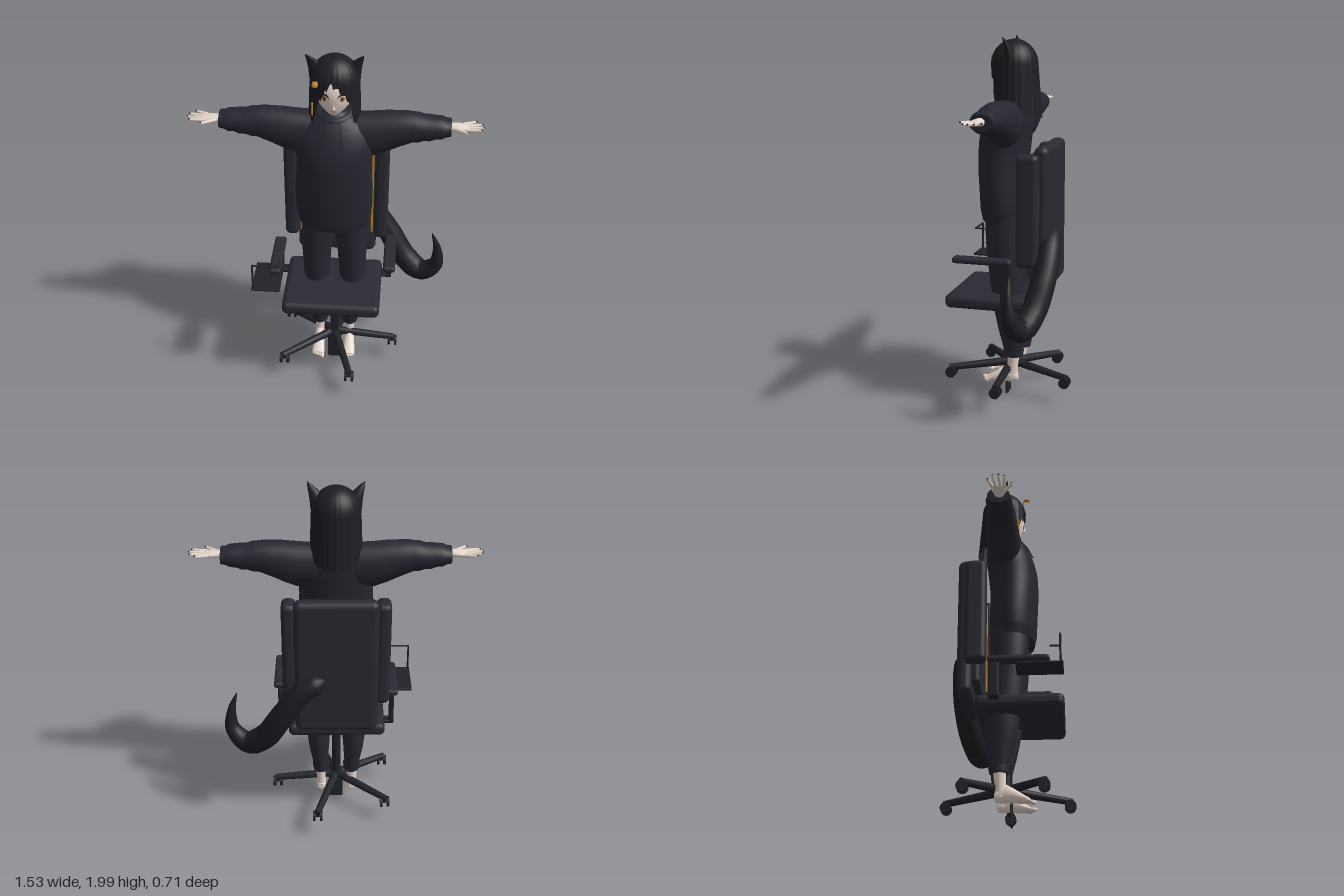
import * as THREE from 'three';
import { RoundedBoxGeometry } from 'three/addons/geometries/RoundedBoxGeometry.js';

const mat = (name, color, side = THREE.FrontSide) => {
  const m = new THREE.MeshStandardMaterial({ color, side });
  m.name = name;
  return m;
};

export function createModel() {
  const root = new THREE.Group();
  root.name = 'personWithOfficeChair';
  const cloth = mat('hoodieCloth', 0x25262f), trouser = mat('trouserCloth', 0x272831);
  const hairMat = mat('hair', 0x1d1e23, THREE.DoubleSide), skin = mat('skin', 0xe6d6ca);
  const chairMat = mat('chairFabric', 0x292a32), metal = mat('chairMetal', 0x212228);
  const amber = mat('amber', 0xb87d24), white = mat('eyeWhite', 0xf2eeea), lip = mat('lip', 0xb98d82);

  const add = (name, geo, material, x = 0, y = 0, z = 0, parent = root) => {
    const m = new THREE.Mesh(geo, material);
    m.name = name;
    m.position.set(x, y, z);
    parent.add(m);
    return m;
  };
  // Box from its limits on each axis, with rounded edges
  const box = (name, [x0, x1], [y0, y1], [z0, z1], material, r = 0.02) => {
    const w = x1 - x0, h = y1 - y0, d = z1 - z0;
    const g = new RoundedBoxGeometry(w, h, d, 3, Math.min(r, Math.min(w, h, d) * 0.48));
    return add(name, g, material, (x0 + x1) / 2, (y0 + y1) / 2, (z0 + z1) / 2);
  };
  // Elliptical loft: ring = [position on axis, centre 1, centre 2, radius 1, radius 2]
  const loft = (axis, rings, n = 28) => {
    const pos = [], idx = [];
    const first = rings[0], last = rings[rings.length - 1];
    const all = [[...first.slice(0, 3), 0, 0], first, ...rings, last, [...last.slice(0, 3), 0, 0]];
    for (const [t, c1, c2, r1, r2] of all) for (let i = 0; i < n; i++) {
      const a = i / n * Math.PI * 2, p = c1 + r1 * Math.cos(a), q = c2 + r2 * Math.sin(a);
      pos.push(...(axis === 'y' ? [p, t, q] : axis === 'x' ? [t, p, q] : [p, q, t]));
    }
    const out = (axis === 'y') === (last[0] > first[0]);
    for (let j = 0; j < all.length - 1; j++) for (let i = 0; i < n; i++) {
      const a = j * n + i, b = j * n + (i + 1) % n, c = a + n, d = b + n;
      if (out) idx.push(a, c, b, b, c, d); else idx.push(a, b, c, b, d, c);
    }
    const g = new THREE.BufferGeometry();
    g.setAttribute('position', new THREE.Float32BufferAttribute(pos, 3));
    g.setIndex(idx);
    g.computeVertexNormals();
    return g;
  };
  const rod = (name, a, b, r0, r1, material, sides = 12) => {
    const A = new THREE.Vector3(...a), B = new THREE.Vector3(...b), d = B.clone().sub(A);
    const m = add(name, new THREE.CylinderGeometry(r1, r0, d.length(), sides), material);
    m.position.copy(A).add(B).multiplyScalar(0.5);
    m.quaternion.setFromUnitVectors(new THREE.Vector3(0, 1, 0), d.normalize());
    return m;
  };
  const ball = (name, x, y, z, r, material, sx = 1, sy = 1, sz = 1) =>
    add(name, new THREE.SphereGeometry(r, 20, 14), material, x, y, z).scale.set(sx, sy, sz);

  // Hoodie body: [y, half width, front z, back z]
  const torso = [[1.01, 0.183, 0.155, -0.085], [1.05, 0.192, 0.163, -0.092], [1.07, 0.2, 0.167, -0.094],
    [1.15, 0.206, 0.17, -0.095], [1.25, 0.205, 0.176, -0.09], [1.35, 0.196, 0.178, -0.092], [1.43, 0.198, 0.175, -0.1],
    [1.5, 0.207, 0.16, -0.108], [1.57, 0.2, 0.132, -0.11], [1.62, 0.165, 0.1, -0.1], [1.655, 0.11, 0.075, -0.085], [1.68, 0.06, 0.05, -0.06]];
  add('hoodieBody', loft('y', torso.map(([y, w, f, b]) => [y, 0, (f + b) / 2, w, (f - b) / 2]), 40), cloth);
  // Hood bunched round the neck
  const hood = add('hood', new THREE.TorusGeometry(0.072, 0.028, 12, 36), cloth, 0, 1.65, -0.012);
  hood.rotation.x = Math.PI / 2 + 0.25;
  hood.scale.set(1.1, 1, 1.2);
  add('neck', new THREE.CylinderGeometry(0.04, 0.045, 0.14, 20), skin, 0, 1.67, 0.0);

  for (const s of [1, -1]) {
    // Sleeve with soft folds and a gathered cuff
    const sleeve = [[0.08, 1.545, 0.115, 0.09], [0.2, 1.545, 0.122, 0.095], [0.27, 1.562, 0.112, 0.09], [0.33, 1.577, 0.098, 0.085],
      [0.37, 1.586, 0.09, 0.082], [0.4, 1.59, 0.082, 0.076], [0.43, 1.59, 0.079, 0.08], [0.46, 1.59, 0.07, 0.071],
      [0.49, 1.59, 0.069, 0.074], [0.52, 1.594, 0.061, 0.067], [0.55, 1.594, 0.059, 0.07], [0.57, 1.595, 0.048, 0.062], [0.595, 1.596, 0.044, 0.06]];
    add('sleeve', loft('x', sleeve.map(([x, y, ry, rz]) => [s * x, y, -0.005, ry, rz])), cloth);
    // Hand with spread fingers and dark nails
    const palm = [[0.57, 0.022, 0.026], [0.6, 0.02, 0.026], [0.63, 0.018, 0.036], [0.665, 0.014, 0.036], [0.68, 0.009, 0.03]];
    add('palm', loft('x', palm.map(([x, ry, rz]) => [s * x, 1.602, 0, ry, rz])), skin);
    for (const [x0, z0, x1, z1] of [[0.66, -0.029, 0.72, -0.05], [0.67, -0.011, 0.75, -0.022],
      [0.67, 0.01, 0.755, 0.008], [0.665, 0.028, 0.743, 0.036], [0.615, 0.024, 0.677, 0.07]]) {
      rod('finger', [s * x0, 1.602, z0], [s * x1, 1.606, z1], 0.0105, 0.007, skin, 10);
      ball('fingertip', s * x1, 1.606, z1, 0.007, skin);
      ball('nail', s * (x1 + 0.003), 1.609, z1, 0.007, metal, 1, 0.6, 0.8);
    }
    // Hood drawstring
    const cord = new THREE.CatmullRomCurve3([[0.032, 1.65, 0.085], [0.042, 1.6, 0.119], [0.047, 1.53, 0.152]]
      .map(([x, y, z]) => new THREE.Vector3(s * x, y, z)));
    add('drawstring', new THREE.TubeGeometry(cord, 12, 0.004, 6), metal);
    // Trouser leg: [y, centre x, half width, front z, back z]
    const leg = [[0.25, 0.087, 0.044, 0.018, -0.083], [0.285, 0.088, 0.048, 0.024, -0.09], [0.295, 0.09, 0.042, 0.024, -0.088],
      [0.4, 0.097, 0.056, 0.05, -0.105], [0.5, 0.1, 0.066, 0.07, -0.108], [0.6, 0.1, 0.072, 0.085, -0.1],
      [0.8, 0.098, 0.08, 0.11, -0.085], [0.95, 0.091, 0.088, 0.122, -0.088], [1.05, 0.088, 0.09, 0.125, -0.085]];
    add('trouserLeg', loft('y', leg.map(([y, x, w, f, b]) => [y, s * x, (f + b) / 2, w, (f - b) / 2])), trouser);
    // Bare foot
    add('ankle', loft('y', [[0.12, s * 0.088, -0.025, 0.027, 0.03], [0.19, s * 0.088, -0.027, 0.025, 0.029],
      [0.28, s * 0.088, -0.032, 0.03, 0.036]]), skin);
    const foot = [[-0.057, 0.128, 0.015, 0.018], [-0.045, 0.13, 0.026, 0.033], [0, 0.145, 0.028, 0.05],
      [0.05, 0.13, 0.032, 0.036], [0.1, 0.112, 0.036, 0.02], [0.125, 0.105, 0.034, 0.012]];
    add('foot', loft('z', foot.map(([z, y, rx, ry]) => [z, s * 0.088, y, rx, ry])), skin);
    for (let i = 0; i < 5; i++)
      ball('toe', s * (0.062 + i * 0.0135), 0.103, 0.137 - i * 0.006, i ? 0.0085 : 0.011, skin, 1, 1, 1.7);
    // Cat ear
    add('catEar', loft('y', [[1.85, s * 0.085, -0.015, 0.044, 0.03], [1.9, s * 0.093, -0.012, 0.04, 0.026],
      [1.945, s * 0.112, -0.004, 0.028, 0.017], [1.975, s * 0.133, 0.008, 0.012, 0.008], [1.99, s * 0.145, 0.016, 0.001, 0.001]]), hairMat);
  }

  // Head: a sphere narrowed and pushed forward toward the chin
  const headPoint = (x, y, z) => {
    const t = Math.max(0, -y), k = 1 - 0.42 * t * t;
    return [x * 0.1 * k, 1.79 + y * 0.122, z * 0.1 * (1 - 0.12 * t) + 0.035 * t * t];
  };
  const headGeo = new THREE.SphereGeometry(1, 40, 32), hp = headGeo.attributes.position;
  for (let i = 0; i < hp.count; i++) hp.setXYZ(i, ...headPoint(hp.getX(i), hp.getY(i), hp.getZ(i)));
  headGeo.computeVertexNormals();
  add('head', headGeo, skin);
  const nose = add('nose', new THREE.ConeGeometry(0.011, 0.034, 12), skin, 0, 1.748, 0.104);
  nose.rotation.x = 0.45;
  // Thin oval laid on the face surface
  const patch = (name, cx, cy, rx, ry, lift, material) => {
    const g = new THREE.CircleGeometry(1, 24), p = g.attributes.position;
    for (let i = 0; i < p.count; i++) {
      const x = cx + p.getX(i) * rx, y = cy + p.getY(i) * ry, v = (y - 1.79) / 0.122, t = Math.max(0, -v);
      const u = x / (0.1 * (1 - 0.42 * t * t));
      p.setXYZ(i, x, y, headPoint(u, v, Math.sqrt(Math.max(0, 1 - u * u - v * v)))[2] + lift);
    }
    g.computeVertexNormals();
    add(name, g, material);
  };
  for (const s of [1, -1]) {
    patch('lashes', s * 0.045, 1.794, 0.023, 0.02, 0.002, metal);
    patch('eyeWhite', s * 0.045, 1.789, 0.021, 0.017, 0.004, white);
    patch('iris', s * 0.045, 1.789, 0.013, 0.016, 0.006, amber);
    patch('pupil', s * 0.045, 1.789, 0.005, 0.008, 0.008, metal);
  }
  patch('mouth', 0, 1.712, 0.015, 0.003, 0.003, lip);

  // Hair shell: its lower edge follows azimuth (degrees from the front, toward +x)
  const edge = [[-180, 1.56], [-90, 1.6], [-58, 1.62], [-49, 1.64], [-42, 1.73], [-28, 1.79], [-8, 1.87], [8, 1.85],
    [28, 1.805], [42, 1.74], [50, 1.64], [60, 1.62], [90, 1.6], [180, 1.56]];
  const edgeY = (deg) => {
    const k = Math.max(1, edge.findIndex(([a]) => a >= deg));
    const [a0, y0] = edge[k - 1], [a1, y1] = edge[k];
    return THREE.MathUtils.lerp(y0, y1, (deg - a0) / (a1 - a0));
  };
  const U = 144, V = 26, hp2 = [], hi = [];
  for (let i = 0; i <= U; i++) for (let j = 0; j <= V; j++) {
    const deg = -180 + i * 360 / U, a = deg * Math.PI / 180, f = j / V;
    const bottom = edgeY(deg) + (i % 6) * 0.005 - 0.012;
    const y = 1.975 - (1.975 - bottom) * Math.pow(f, 1.7);
    const h = Math.max(0, (y - 1.84) / 0.135), low = Math.max(0, 1.84 - y);
    const r = Math.sqrt(Math.max(0, 1 - h * h)) * (1 + 0.012 * Math.cos(i * Math.PI / 3) * f);
    const back = Math.max(0, -Math.cos(a));
    hp2.push((0.127 + 0.035 * low) * r * Math.sin(a), y, -0.014 + (0.125 + 0.08 * low * back) * r * Math.cos(a));
    if (i < U && j < V) {
      const p = i * (V + 1) + j, q = p + V + 1;
      hi.push(p, p + 1, q, q, p + 1, q + 1);
    }
  }
  const hairGeo = new THREE.BufferGeometry();
  hairGeo.setAttribute('position', new THREE.Float32BufferAttribute(hp2, 3));
  hairGeo.setIndex(hi);
  hairGeo.computeVertexNormals();
  add('hair', hairGeo, hairMat);
  // Hair clip and side bead
  const clip = add('hairClip', new THREE.TorusGeometry(0.017, 0.004, 8, 20, Math.PI * 1.2), amber, -0.088, 1.872, 0.12);
  clip.rotation.y = -Math.PI / 2;
  clip.scale.z = 3.5;
  box('sideBead', [-0.113, -0.103], [1.68, 1.75], [0.065, 0.08], amber, 0.004);

  // Tail: tube whose radius tapers to the tip
  const tailPath = new THREE.CatmullRomCurve3([[0.06, 0.98, -0.235], [0.18, 0.91, -0.255], [0.29, 0.76, -0.25], [0.39, 0.6, -0.215],
    [0.49, 0.533, -0.175], [0.57, 0.6, -0.145], [0.575, 0.72, -0.135], [0.54, 0.835, -0.13]].map((p) => new THREE.Vector3(...p)));
  const T = 60, R = 18, tailGeo = new THREE.TubeGeometry(tailPath, T, 1, R), tp = tailGeo.attributes.position;
  for (let i = 0; i <= T; i++) {
    const f = i / T, c = tailPath.getPointAt(f);
    const r = (0.052 + 0.016 * Math.sin(f * Math.PI)) * Math.sqrt(Math.min(1, f * 18 + 0.05)) * Math.pow(Math.min(1, (1 - f) / 0.4), 0.75);
    for (let j = 0; j <= R; j++) {
      const k = i * (R + 1) + j, v = new THREE.Vector3().fromBufferAttribute(tp, k).sub(c).multiplyScalar(r).add(c);
      tp.setXYZ(k, v.x, v.y, v.z);
    }
  }
  tailGeo.computeVertexNormals();
  add('tail', tailGeo, hairMat);

  // Chair seat and backrest
  box('seat', [-0.27, 0.265], [0.547, 0.622], [-0.15, 0.31], chairMat, 0.03);
  box('backrest', [-0.222, 0.222], [0.65, 1.435], [-0.25, -0.17], chairMat, 0.035);
  box('backPad', [-0.185, 0.185], [0.72, 1.39], [-0.18, -0.13], chairMat);
  for (const s of [1, -1]) {
    const span = (a, b) => (s > 0 ? [a, b] : [-b, -a]);
    box('backrestWing', span(0.21, 0.287), [0.8, 1.4], [-0.21, -0.09], chairMat, 0.03);
    box('wingPiping', span(0.192, 0.204), [0.82, 1.36], [-0.17, -0.122], amber, 0.004);
    // Armrest: the one on the -x side sits lower
    const top = s > 0 ? 0.855 : 0.803;
    box('armrestPad', span(0.277, 0.342), [top - 0.034, top], [-0.08, 0.24], chairMat, 0.015);
    box('armrestPost', span(0.295, 0.321), [0.59, top - 0.03], [-0.075, -0.02], metal, 0.008);
    box('armrestBracket', span(0.24, 0.321), [0.585, 0.605], [-0.075, -0.02], metal, 0.006);
  }
  // Side tray with its wire frame
  box('tray', [-0.43, -0.275], [0.71, 0.722], [0.07, 0.31], metal, 0.004);
  box('trayPost', [-0.425, -0.415], [0.715, 0.877], [0.29, 0.302], metal, 0.003);
  box('trayBar', [-0.425, -0.275], [0.868, 0.877], [0.293, 0.302], metal, 0.003);
  box('trayHook', [-0.284, -0.275], [0.868, 0.877], [0.24, 0.302], metal, 0.003);

  // Column and hanging plate
  add('column', new THREE.CylinderGeometry(0.025, 0.025, 0.4, 20), metal, 0, 0.36, 0);
  add('hub', new THREE.CylinderGeometry(0.035, 0.045, 0.05, 24), metal, 0, 0.18, 0);
  box('lowerPlate', [-0.037, 0.037], [0, 0.16], [0.018, 0.03], metal, 0.003);
  box('upperPlate', [-0.022, 0.022], [0.15, 0.4], [0.018, 0.03], metal, 0.003);
  // Five-star base with twin-wheel castors
  for (let i = 0; i < 5; i++) {
    const a = i * Math.PI * 2 / 5, x = 0.342 * Math.cos(a), z = 0.342 * Math.sin(a);
    rod('baseLeg', [0, 0.187, 0], [x * 1.03, 0.153, z * 1.03], 0.024, 0.018, metal);
    rod('castorStem', [x, 0.125, z], [x, 0.16, z], 0.009, 0.009, metal);
    rod('castorAxle', [x - 0.02, 0.128, z], [x + 0.02, 0.128, z], 0.006, 0.006, metal);
    for (const s of [1, -1])
      rod('castorWheel', [x + s * 0.012, 0.128, z], [x + s * 0.026, 0.128, z], 0.03, 0.03, metal, 24);
  }
  return root;
}
